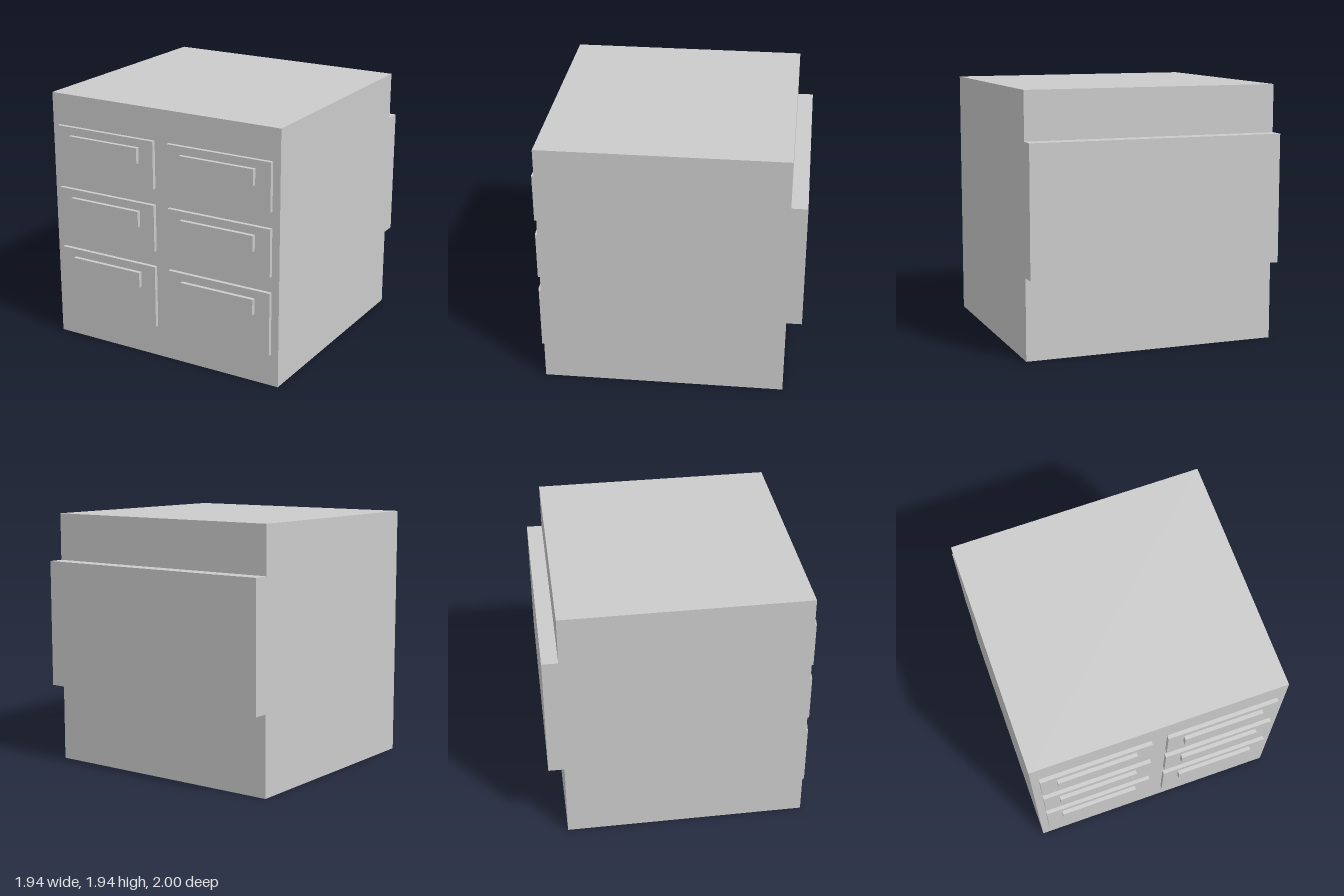
import * as THREE from 'three';

const material = new THREE.MeshStandardMaterial({ color: 0xcccccc, flatShading: true });

// Box given by its [min, max] range on each axis
function addBox(parent, name, [x0, x1], [y0, y1], [z0, z1]) {
  const mesh = new THREE.Mesh(new THREE.BoxGeometry(x1 - x0, y1 - y0, z1 - z0), material);
  mesh.position.set((x0 + x1) / 2, (y0 + y1) / 2, (z0 + z1) / 2);
  mesh.name = name;
  parent.add(mesh);
}

export function createModel() {
  const model = new THREE.Group();
  model.name = 'drawerCabinet';

  // Cabinet body and the raised panel across its back
  const width = [-0.97, 0.97];
  addBox(model, 'cabinetBody', width, [0, 1.94], [-0.88, 0.94]);
  addBox(model, 'backPanel', width, [0.61, 1.58], [-1, -0.88]);

  // Two columns of three drawers; the bottom row is taller
  const rows = [
    { name: 'top', bottom: 1.337, top: 1.7 },
    { name: 'middle', bottom: 0.85, top: 1.213 },
    { name: 'bottom', bottom: 0.245, top: 0.73 },
  ];
  for (const [side, x] of [['Right', -0.485], ['Left', 0.485]]) {
    for (const row of rows) {
      const drawer = new THREE.Group();
      drawer.name = `${row.name}${side}Drawer`;
      addBox(drawer, 'drawerFront', [x - 0.425, x + 0.425], [row.bottom, row.top], [0.94, 0.97]);
      addBox(drawer, 'drawerHandle', [x - 0.303, x + 0.303], [row.top - 0.182, row.top - 0.061], [0.97, 1]);
      model.add(drawer);
    }
  }
  return model;
}
